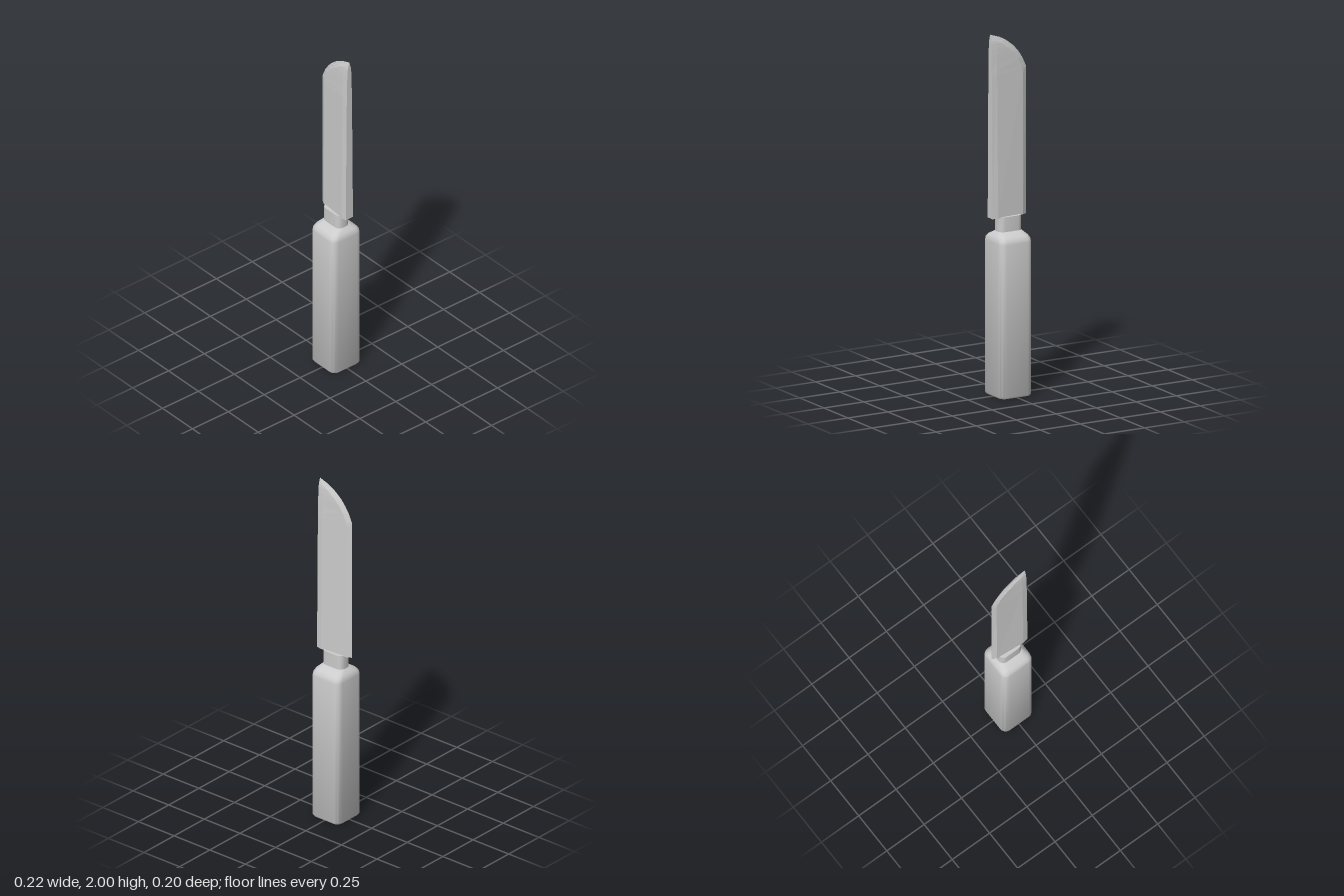
import * as THREE from 'three';
import { toCreasedNormals } from 'three/addons/utils/BufferGeometryUtils.js';

// Skin a stack of equal-length rings, each running +x -> +z -> -x, from bottom to top
function loft(rings) {
  const n = rings[0].length, pos = rings.flat(2), idx = [];
  for (let r = 0; r < rings.length - 1; r++) {
    for (let i = 0; i < n; i++) {
      const a = r * n + i, b = r * n + (i + 1) % n;
      idx.push(a, a + n, b, b, a + n, b + n);
    }
  }
  // Flat end caps fanned from each ring's centre
  [[0, false], [rings.length - 1, true]].forEach(([r, top]) => {
    const c = pos.length / 3;
    for (let k = 0; k < 3; k++) pos.push(rings[r].reduce((s, p) => s + p[k], 0) / n);
    for (let i = 0; i < n; i++) {
      const a = r * n + i, b = r * n + (i + 1) % n;
      idx.push(c, top ? b : a, top ? a : b);
    }
  });
  const g = new THREE.BufferGeometry();
  g.setAttribute('position', new THREE.Float32BufferAttribute(pos, 3));
  g.setIndex(idx);
  g.computeVertexNormals();
  return g;
}

// Rectangle with rounded corners at height y: half sizes hx, hz and corner radius r
function roundedRing(y, hx, hz, r, steps = 4) {
  const ring = [];
  [[1, 1], [-1, 1], [-1, -1], [1, -1]].forEach(([sx, sz], q) => {
    for (let i = 0; i <= steps; i++) {
      const a = (q + i / steps) * Math.PI / 2;
      ring.push([sx * (hx - r) + r * Math.cos(a), y, sz * (hz - r) + r * Math.sin(a)]);
    }
  });
  return ring;
}

// Blade section: edge x, bevel x, bevel half thickness, spine corner x and thicknesses
function bladeRing([y, edge, bevel, zb, spine, zs, zBack]) {
  const back = 0.112;
  return [[back, y, zBack], [spine, y, zs], [bevel, y, zb], [edge, y, 0],
    [bevel, y, -zb], [spine, y, -zs], [back, y, -zBack]];
}

export function createModel() {
  const group = new THREE.Group();
  const add = (name, geometry, flatShading) => {
    const mesh = new THREE.Mesh(geometry,
      new THREE.MeshStandardMaterial({ color: 0xcccccc, flatShading }));
    mesh.name = name;
    group.add(mesh);
  };

  // Square grip with softened corners and rounded shoulders
  const handle = loft([
    roundedRing(0, 0.094, 0.094, 0.034),
    roundedRing(0.01, 0.1, 0.1, 0.036),
    roundedRing(0.85, 0.1, 0.1, 0.036),
    roundedRing(0.868, 0.098, 0.096, 0.036),
    roundedRing(0.885, 0.09, 0.082, 0.035),
    roundedRing(0.897, 0.079, 0.06, 0.033),
    roundedRing(0.908, 0.07, 0.042, 0.03),
  ]);
  add('handle', toCreasedNormals(handle, 0.7), false);

  // Narrow neck joining grip and blade
  const neck = loft([roundedRing(0.9, 0.07, 0.041, 0.03), roundedRing(0.99, 0.07, 0.041, 0.03)]);
  add('neck', toCreasedNormals(neck, 0.7), false);

  // Tapered blade with a bevelled edge that sweeps up to the tip
  const blade = loft([
    [0.985, -0.112, -0.085, 0.016, 0.08, 0.03, 0.025],
    [1.77, -0.112, -0.086, 0.012, 0.08, 0.021, 0.018],
    [1.8, -0.112, -0.08, 0.012, 0.08, 0.02, 0.017],
    [1.85, -0.09, -0.056, 0.0125, 0.08, 0.018, 0.016],
    [1.89, -0.063, -0.025, 0.013, 0.08, 0.017, 0.015],
    [1.92, -0.037, 0.008, 0.013, 0.08, 0.0155, 0.014],
    [1.95, 0, 0.05, 0.012, 0.085, 0.013, 0.012],
    [1.965, 0.022, 0.078, 0.01, 0.092, 0.0105, 0.01],
    [1.981, 0.053, 0.09, 0.005, 0.1, 0.006, 0.006],
    [2, 0.11, 0.1105, 0.0003, 0.111, 0.0004, 0.0004],
  ].map(bladeRing));
  add('blade', blade, true);

  return group;
}
